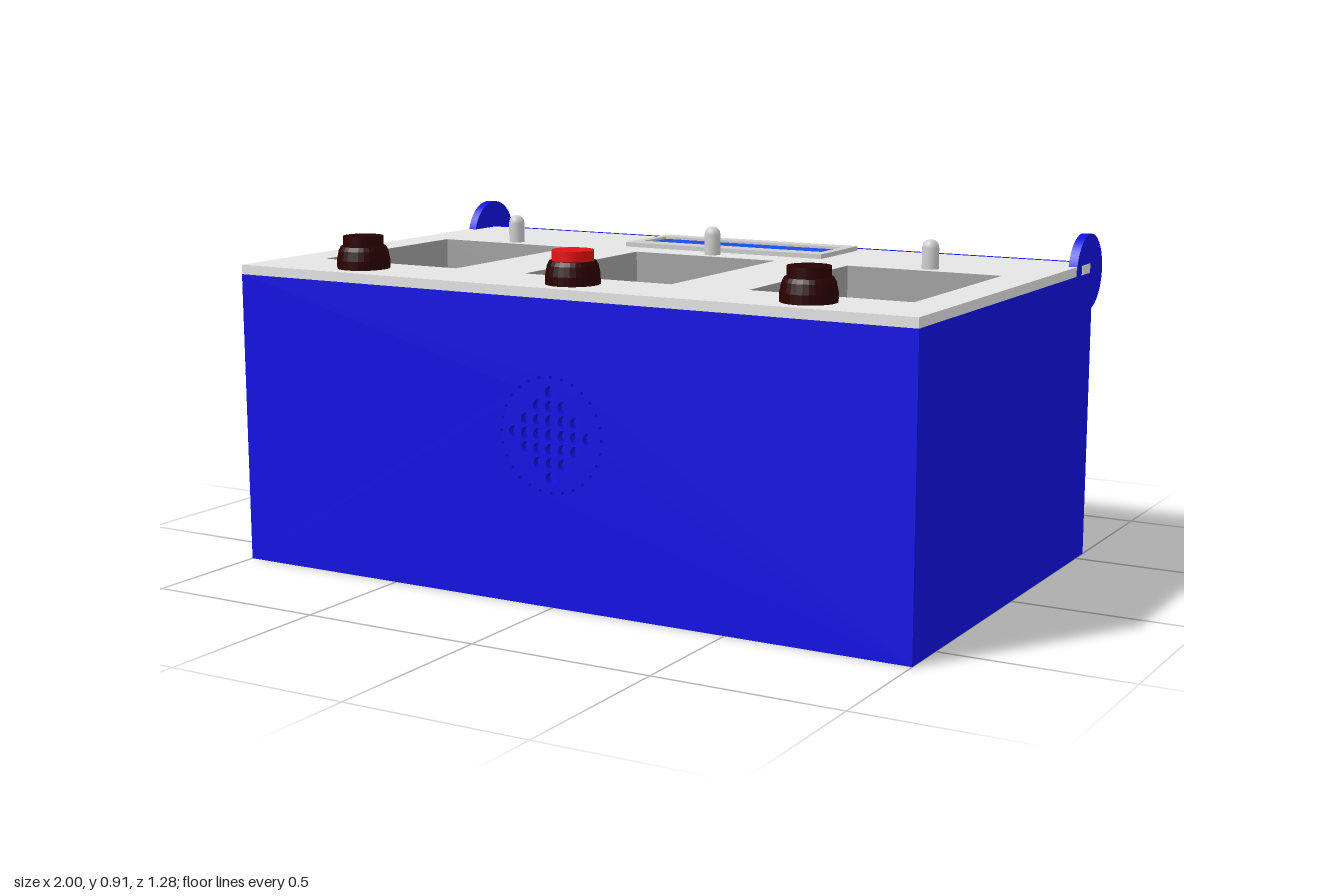
import * as THREE from 'three';

const mat = (name, color, side = THREE.FrontSide) => new THREE.MeshStandardMaterial({ name, color, side });

const blue = mat('case blue', 0x1111e6);
const plateGrey = mat('plate grey', 0xe5e5e5);
const pocketGrey = mat('pocket grey', 0xa3a3a3, THREE.DoubleSide);
const bezelGrey = mat('bezel grey', 0xcecece);
const screenBlue = mat('screen blue', 0x1650eb);
const darkBrown = mat('button dark', 0x2b0000);
const red = mat('button red', 0xe51111);

const T = 0.02; // wall thickness
const BACK = -0.56, FRONT = 0.64, H = 0.8, TOP = 0.826;
const COLUMNS = [-0.667, 0, 0.667];

function rectPath(x0, y0, x1, y1, PathClass = THREE.Path) {
  return new PathClass().moveTo(x0, y0).lineTo(x1, y0).lineTo(x1, y1).lineTo(x0, y1).closePath();
}

function circlePath(x, y, r) {
  return new THREE.Path().absarc(x, y, r, 0, Math.PI * 2, true);
}

// Flat slab cut from a rectangle, with holes, extruded along +z
function slab(x0, y0, x1, y1, depth, holes = []) {
  const shape = rectPath(x0, y0, x1, y1, THREE.Shape);
  shape.holes.push(...holes);
  return new THREE.ExtrudeGeometry(shape, { depth, bevelEnabled: false, curveSegments: 8 });
}

export function createModel() {
  const model = new THREE.Group();
  model.name = 'controlBox';

  function add(name, geometry, material, x = 0, y = 0, z = 0, parent = model) {
    const mesh = new THREE.Mesh(geometry, material);
    mesh.name = name;
    mesh.position.set(x, y, z);
    parent.add(mesh);
    return mesh;
  }

  // Front wall with a speaker grille: a diamond of holes inside a ring of tiny ones
  const grille = [];
  const step = 0.037;
  for (let i = -3; i <= 3; i++) {
    for (let j = -3; j <= 3; j++) {
      if (Math.abs(i) + Math.abs(j) <= 3) grille.push(circlePath(i * step, 0.45 + j * step, 0.017));
    }
  }
  for (let k = 0; k < 28; k++) {
    const a = (k / 28) * Math.PI * 2;
    grille.push(circlePath(0.15 * Math.cos(a), 0.45 + 0.15 * Math.sin(a), 0.005));
  }
  add('frontWall', slab(-1, 0, 1, H, T, grille), blue, 0, 0, FRONT - T);

  // Back wall with a cable hole, rising to the top of the plate
  add('backWall', slab(-1, 0, 1, TOP, T, [circlePath(0, 0.25, 0.036)]), blue, 0, 0, BACK);

  // Side walls (shape x runs along -z); the right one has a socket opening
  const socket = [rectPath(0.14, 0.23, 0.32, 0.49), circlePath(0.22, 0.58, 0.013)];
  const sides = [['leftWall', 1 - T, []], ['rightWall', -1, socket]];
  for (const [name, x, holes] of sides) {
    add(name, slab(-FRONT + T, 0, -BACK - T, H, T, holes), blue, x).rotation.y = Math.PI / 2;
  }
  add('floor', new THREE.BoxGeometry(2 - 2 * T, T, FRONT - BACK - 2 * T), blue, 0, T / 2, 0.04);

  // Top plate with openings for the pockets (shape y runs along -z)
  const pw = 0.446, pd = 0.578, pz = 0.128;
  const openings = COLUMNS.map((x) =>
    rectPath(x - pw / 2, -pz - pd / 2, x + pw / 2, -pz + pd / 2));
  add('topPlate', slab(-0.999, -FRONT, 0.999, -BACK - T, TOP - H, openings), plateGrey, 0, H, 0)
    .rotation.x = -Math.PI / 2;

  // Display: raised bezel around a slightly sunken screen
  add('screenBezel', slab(-0.317, 0.258, 0.317, 0.498, 0.013, [rectPath(-0.29, 0.315, 0.29, 0.447)]), bezelGrey, 0, TOP, 0)
    .rotation.x = -Math.PI / 2;
  add('screen', new THREE.BoxGeometry(0.58, 0.006, 0.132), screenBlue, 0, TOP + 0.003, -0.381);

  // Open pocket lining: a box without its top face
  const pocketDepth = 0.2;
  const pocketGeo = new THREE.BoxGeometry(pw - 0.0005, pocketDepth, pd - 0.0005);
  const index = Array.from(pocketGeo.index.array);
  index.splice(12, 6);
  pocketGeo.setIndex(index);
  pocketGeo.clearGroups();

  // Round-topped pin
  const pinGeo = new THREE.LatheGeometry([
    [0.023, 0], [0.023, 0.057], [0.02, 0.069], [0.012, 0.077], [0, 0.08],
  ].map(([r, y]) => new THREE.Vector2(r, y)), 20);

  // Button collar
  const collarGeo = new THREE.LatheGeometry([
    [0.071, 0], [0.071, 0.024], [0.066, 0.049], [0.06, 0.06], [0, 0.06],
  ].map(([r, y]) => new THREE.Vector2(r, y)), 28).toNonIndexed();
  collarGeo.computeVertexNormals();
  const capGeo = new THREE.CylinderGeometry(0.054, 0.054, 0.03, 28);

  COLUMNS.forEach((x, i) => {
    add('pocket', pocketGeo, pocketGrey, x, TOP - 0.0005 - pocketDepth / 2, pz);
    add('pin', pinGeo, bezelGrey, x, TOP, -0.207);
    const button = new THREE.Group();
    button.name = 'button';
    button.position.set(x, TOP, 0.53);
    add('buttonCollar', collarGeo, darkBrown, 0, 0, 0, button);
    add('buttonCap', capGeo, i === 1 ? red : darkBrown, 0, 0.072, 0, button);
    model.add(button);
  });

  // Round hinge lugs at the back corners, each showing a plate tab
  const lugGeo = new THREE.CylinderGeometry(0.105, 0.105, 0.025, 48).rotateZ(Math.PI / 2);
  for (const s of [1, -1]) {
    add('hingeLug', lugGeo, blue, s * 0.9875, 0.802, -0.535);
    add('hingeTab', new THREE.BoxGeometry(0.03, TOP - H, 0.065), plateGrey, s * 0.9865, (TOP + H) / 2, -0.5025);
  }

  return model;
}
